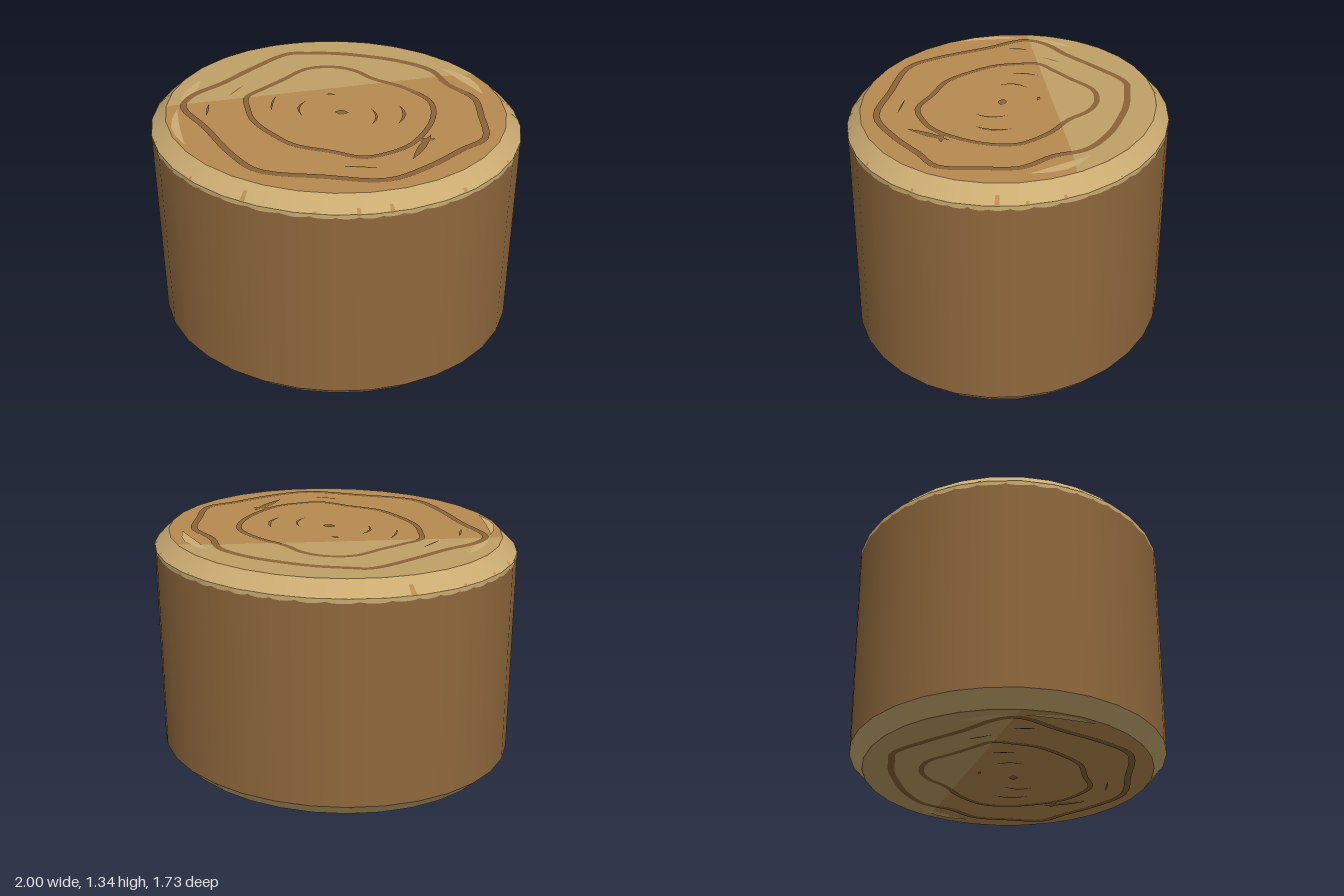
import * as THREE from 'three';

const SIDES = 32, STEP = (Math.PI * 2) / SIDES;
const DEPTH = 0.865, HEIGHT = 1.33, BEVEL = 0.08, INNER = 0.918;
const R = 1 / Math.cos(STEP / 2);

export function createModel() {
  const group = new THREE.Group();
  group.name = 'log';
  const mat = (name, color, side = THREE.FrontSide) => {
    const m = new THREE.MeshStandardMaterial({ color, side });
    m.name = name;
    return m;
  };
  const bark = mat('bark', 0x8f683c);
  const wood = mat('cutWood', 0xb88b50);
  const ringBrown = mat('ringBrown', 0x8b6338);
  const pale = mat('paleSapwood', 0xcbac72);
  const paleTrim = mat('paleTrim', 0xcbac72, THREE.DoubleSide);
  const sap = mat('sapwood', 0xc0a066);
  const chip = mat('chip', 0xb88b50, THREE.DoubleSide);
  const add = (geo, m, name) => {
    const mesh = new THREE.Mesh(geo, m);
    mesh.name = name;
    group.add(mesh);
  };

  // Oval barrel section between two heights
  const barrel = (rTop, rBottom, y0, y1) => {
    const g = new THREE.CylinderGeometry(rTop * R, rBottom * R, y1 - y0, SIDES, 1, true);
    return g.rotateY(STEP / 2).scale(1, 1, DEPTH).translate(0, (y0 + y1) / 2, 0);
  };
  add(barrel(1, 1, BEVEL, HEIGHT - BEVEL), bark, 'barkSide');
  add(barrel(INNER, 1, HEIGHT - BEVEL, HEIGHT), pale, 'topBevel');
  add(barrel(1, INNER, 0, BEVEL), pale, 'bottomBevel');

  // Point on the faceted outline at angle a, scaled by s
  const rim = (a, s, y) => {
    const k = Math.floor(a / STEP - 0.5) + 0.5, t = a / STEP - k;
    const c = (f) => THREE.MathUtils.lerp(f(k * STEP), f((k + 1) * STEP), t) * R * s;
    return [c(Math.cos), y, c(Math.sin) * DEPTH];
  };

  // Scalloped pale trim hanging over the bark
  const N = 480, trim = [], index = [];
  for (let i = 0; i <= N; i++) {
    const a = (i / N) * Math.PI * 2;
    const lobe = Math.pow(Math.abs(Math.sin(a * 23 + Math.sin(a * 5))), 0.4);
    trim.push(...rim(a, 1.002, HEIGHT - BEVEL), ...rim(a, 1.002, 1.238 - 0.014 * lobe));
    if (i < N) index.push(2 * i, 2 * i + 2, 2 * i + 1, 2 * i + 1, 2 * i + 2, 2 * i + 3);
  }
  const trimGeo = new THREE.BufferGeometry();
  trimGeo.setAttribute('position', new THREE.Float32BufferAttribute(trim, 3));
  trimGeo.setIndex(index);
  trimGeo.computeVertexNormals();
  add(trimGeo, paleTrim, 'scallopedTrim');

  // Small wood chips on the bevels: angle, half width, height
  const addChip = (a, w, h, top) => {
    const at = (da, t) => {
      const y = top ? HEIGHT - BEVEL + t : BEVEL - t;
      return rim((a + da + Math.PI * 2) % (Math.PI * 2), 1.003 - ((1 - INNER) * t) / BEVEL, y);
    };
    const g = new THREE.BufferGeometry();
    const p = [at(-w, 0), at(w, 0), at(w * 0.7, h), at(-w * 0.7, h)].flat();
    g.setAttribute('position', new THREE.Float32BufferAttribute(p, 3));
    g.setIndex([0, 2, 1, 0, 3, 2]);
    g.computeVertexNormals();
    add(g, chip, 'bevelChip');
  };
  [[0.35, 0.01, 0.015], [0.75, 0.012, 0.02], [1.18, 0.012, 0.03], [1.35, 0.012, 0.025],
    [1.57, 0.012, 0.01], [1.95, 0.014, 0.045], [2.3, 0.01, 0.015], [2.75, 0.012, 0.015],
    [3.3, 0.012, 0.02], [3.5, 0.01, 0.015], [3.76, 0.012, 0.01], [4.08, 0.016, 0.045],
    [5.35, 0.01, 0.01], [5.73, 0.012, 0.015], [5.95, 0.012, 0.015], [6.12, 0.016, 0.04]]
    .forEach(([a, w, h]) => addChip(a, w, h, true));
  [[0.86, 0.01, 0.012], [5.5, 0.012, 0.012], [4.4, 0.01, 0.02]]
    .forEach(([a, w, h]) => addChip(a, w, h, false));

  // Growth rings as [x, z] centre lines
  const innerRing = [[-0.05, -0.47], [0.06, -0.44], [0.17, -0.36], [0.35, -0.28], [0.5, -0.15],
    [0.53, 0], [0.5, 0.16], [0.43, 0.31], [0.33, 0.4], [0.2, 0.46], [0.03, 0.425], [-0.16, 0.39],
    [-0.28, 0.31], [-0.42, 0.17], [-0.475, 0.04], [-0.5, -0.07], [-0.42, -0.18], [-0.33, -0.29],
    [-0.235, -0.415], [-0.155, -0.457]];
  const outerRing = [[-0.07, -0.634], [0.09, -0.623], [0.3, -0.585], [0.49, -0.495], [0.59, -0.345],
    [0.74, -0.21], [0.785, -0.02], [0.81, 0.2], [0.7, 0.32], [0.54, 0.5], [0.34, 0.65], [0.03, 0.66],
    [-0.315, 0.645], [-0.475, 0.51], [-0.66, 0.27], [-0.825, 0.07], [-0.8, -0.05], [-0.66, -0.21],
    [-0.53, -0.39], [-0.35, -0.595], [-0.235, -0.617]];
  const smooth = (pts, closed, n) => new THREE.CatmullRomCurve3(
    pts.map(([x, z]) => new THREE.Vector3(x, 0, z)), closed, 'centripetal').getPoints(n);
  const offset = (line, d) => line.map((p, i) => {
    const n = line.length, q = line[(i + 1) % n], o = line[(i + n - 1) % n];
    const dx = q.x - o.x, dz = q.z - o.z, l = Math.hypot(dx, dz);
    return [p.x + (dz / l) * d, p.z - (dx / l) * d];
  });

  // Spindle-shaped outline between two points, bowed sideways
  const spindle = (x0, z0, x1, z1, w, bow = 0) => {
    const l = Math.hypot(x1 - x0, z1 - z0), nx = (z0 - z1) / l, nz = (x1 - x0) / l;
    const side = (s) => [0, 0.25, 0.5, 0.75, 1].map((t) => {
      const d = Math.sin(Math.PI * t) * (bow + (s * w) / 2);
      return [x0 + (x1 - x0) * t + nx * d, z0 + (z1 - z0) * t + nz * d];
    });
    return [...side(1), ...side(-1).slice(1, -1).reverse()];
  };
  const cracks = [[-0.69, 0.03, -0.68, 0.15, 0.015], [-0.34, -0.1, -0.34, 0.06, 0.012, 0.01],
    [-0.17, -0.07, -0.17, 0.09, 0.014, 0.03], [0.19, -0.03, 0.21, 0.14, 0.014, -0.03],
    [0.34, -0.08, 0.35, 0.11, 0.02, -0.03], [-0.54, -0.2, -0.6, -0.07, 0.01],
    [0.53, 0.2, 0.45, 0.45, 0.04], [0.45, 0.27, 0.56, 0.24, 0.03],
    [-0.07, -0.155, -0.02, -0.155, 0.02], [0.11, 0.555, 0.28, 0.55, 0.01],
    [0, 0.03, 0.075, 0.03, 0.05]];
  const streaks = [[0.54, -0.53, 0.79, -0.26, 0.06, -0.03], [-0.79, -0.23, -0.85, 0.04, 0.05, 0],
    [-0.85, 0.1, -0.73, 0.45, 0.045, 0.03]];

  // Sapwood crescent hugging the back left rim
  const arc = [];
  for (let i = 0; i <= 16; i++) {
    const a = Math.PI * (0.97 + (i / 16) * 0.82);
    const [x, , z] = rim(a, INNER - 0.002, 0);
    arc.push([x, z]);
  }
  const inside = smooth([[0.67, -0.48], [0.5, -0.58], [0.25, -0.68], [0, -0.725], [-0.2, -0.72],
    [-0.33, -0.665], [-0.52, -0.56], [-0.7, -0.38], [-0.83, -0.17], [-0.87, -0.04]], false, 30);
  const crescent = [...arc, ...inside.map((p) => [p.x, p.z]).reverse()];

  // Both sawn faces carry the same markings
  for (const up of [1, -1]) {
    const label = up > 0 ? 'top' : 'bottom';
    const level = up > 0 ? HEIGHT : 0;
    const vec = (pts) => pts.map(([x, z]) => new THREE.Vector2(x, -up * z));
    const plate = (pts, lift, m, name, hole) => {
      const s = new THREE.Shape(vec(pts));
      if (hole) s.holes.push(new THREE.Path(vec(hole)));
      const g = new THREE.ShapeGeometry(s).rotateX((-up * Math.PI) / 2);
      add(g.translate(0, level + up * lift, 0), m, label + name);
    };
    const outline = [];
    for (let i = 0; i < SIDES; i++) {
      const [x, , z] = rim((i + 0.5) * STEP, INNER, 0);
      outline.push([x, z]);
    }
    plate(outline, 0, wood, 'Face');
    plate(crescent, 0.002, sap, 'Sapwood');
    streaks.forEach((s) => plate(spindle(...s), 0.003, pale, 'Streak'));
    [[innerRing, 0.015], [outerRing, 0.018]].forEach(([pts, w]) => {
      const line = smooth(pts, true, 90).slice(0, -1);
      plate(offset(line, w), 0.004, ringBrown, 'GrowthRing', offset(line, -w));
    });
    cracks.forEach((c) => plate(spindle(...c), 0.005, ringBrown, 'Crack'));
  }
  return group;
}
